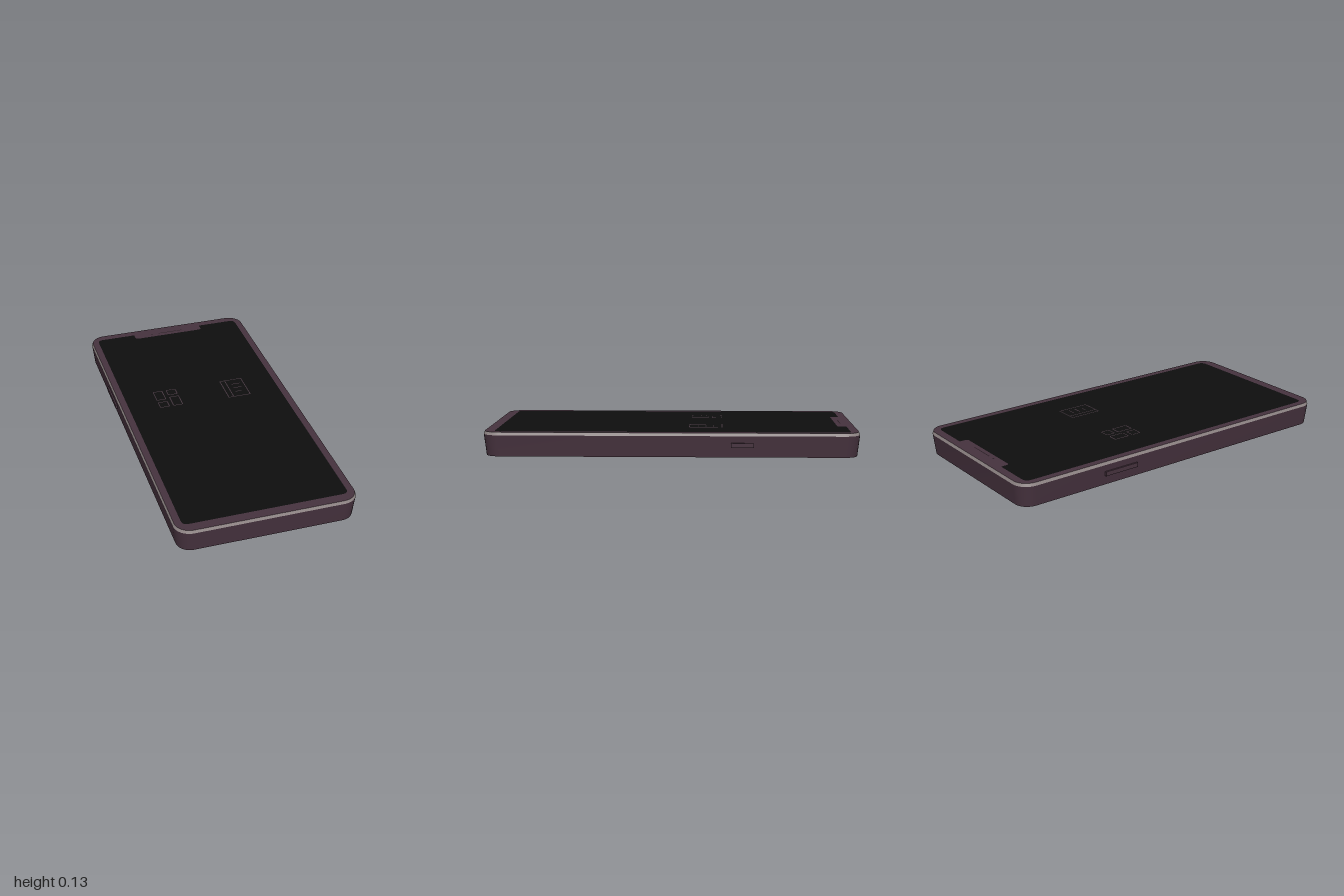
import * as THREE from 'three';
import { toCreasedNormals } from 'three/addons/utils/BufferGeometryUtils.js';

const mat = (color) => new THREE.MeshStandardMaterial({ color });
const shellMat = mat(0x46323e), rimMat = mat(0x8f8585), glassMat = mat(0x0e0e0e);
const iconMat = mat(0x46363f), darkMat = mat(0x2a1e25);

// Rounded rectangle outline, anticlockwise; shape y is -z
function outline(cx, cz, hw, hd, r, seg = 8) {
  const pts = [];
  [[1, 1], [-1, 1], [-1, -1], [1, -1]].forEach(([sx, sy], k) => {
    for (let i = 0; i <= seg; i++) {
      const a = (k + i / seg) * Math.PI / 2;
      pts.push(new THREE.Vector2(
        cx + sx * (hw - r) + r * Math.cos(a),
        -cz + sy * (hd - r) + r * Math.sin(a)));
    }
  });
  return pts;
}

// Side walls between two outlines at different heights
function wall(lower, y0, upper, y1) {
  const pos = [], n = lower.length;
  for (let i = 0; i < n; i++) {
    const j = (i + 1) % n;
    const a = [lower[i].x, y0, -lower[i].y], b = [lower[j].x, y0, -lower[j].y];
    const c = [upper[j].x, y1, -upper[j].y], d = [upper[i].x, y1, -upper[i].y];
    pos.push(...a, ...b, ...c, ...a, ...c, ...d);
  }
  const g = new THREE.BufferGeometry();
  g.setAttribute('position', new THREE.Float32BufferAttribute(pos, 3));
  return toCreasedNormals(g, 0.6);
}

function add(parent, name, geometry, material) {
  const m = new THREE.Mesh(geometry, material);
  m.name = name;
  parent.add(m);
  return m;
}

// Flat upward-facing sheet at height y
function sheet(parent, name, shape, y, material) {
  const m = add(parent, name, new THREE.ShapeGeometry(shape, 8).rotateX(-Math.PI / 2), material);
  m.position.y = y;
  return m;
}

// Thin outlined rectangle given by its x and z limits
function frame(parent, name, x0, x1, z0, z1, y, r = 0.006, t = 0.005) {
  const cx = (x0 + x1) / 2, cz = (z0 + z1) / 2, hw = (x1 - x0) / 2, hd = (z1 - z0) / 2;
  const s = new THREE.Shape(outline(cx, cz, hw, hd, r, 3));
  s.holes.push(new THREE.Path(outline(cx, cz, hw - t, hd - t, r / 3, 3).reverse()));
  sheet(parent, name, s, y, iconMat);
}

function bar(parent, name, x0, x1, z0, z1, y, material) {
  const g = new THREE.PlaneGeometry(x1 - x0, z1 - z0).rotateX(-Math.PI / 2);
  add(parent, name, g, material).position.set((x0 + x1) / 2, y, (z0 + z1) / 2);
}

// Display outline with rounded corners and the notch in its rear edge
function screenShape() {
  const w = 0.44, f = -0.94, b = 0.95, r = 0.035, nw = 0.21, nd = 0.902, q = 0.018;
  const s = new THREE.Shape();
  s.moveTo(-w + r, f);
  s.lineTo(w - r, f);
  s.quadraticCurveTo(w, f, w, f + r);
  s.lineTo(w, b - r);
  s.quadraticCurveTo(w, b, w - r, b);
  s.lineTo(nw, b);
  s.lineTo(nw, nd + q);
  s.quadraticCurveTo(nw, nd, nw - q, nd);
  s.lineTo(-nw + q, nd);
  s.quadraticCurveTo(-nw, nd, -nw, nd + q);
  s.lineTo(-nw, b);
  s.lineTo(-w + r, b);
  s.quadraticCurveTo(-w, b, -w, b - r);
  s.lineTo(-w, f + r);
  s.quadraticCurveTo(-w, f, -w + r, f);
  return s;
}

export function createModel() {
  const phone = new THREE.Group();
  phone.name = 'phone';
  const top = 0.13, ink = 0.131;

  // Tapered shell with a bevelled rim
  const base = outline(0, 0, 0.47, 0.987, 0.075);
  const shoulder = outline(0, 0, 0.483, 1, 0.085);
  const lip = outline(0, 0, 0.477, 0.994, 0.08);
  add(phone, 'shell', wall(base, 0, shoulder, 0.114), shellMat);
  add(phone, 'rim', wall(shoulder, 0.114, lip, top), rimMat);
  add(phone, 'backPanel', new THREE.ShapeGeometry(new THREE.Shape(base)).rotateX(Math.PI / 2), shellMat);

  // Bezel around the display
  const bezel = new THREE.Shape(lip);
  bezel.holes.push(new THREE.Path(screenShape().getPoints(8).reverse()));
  sheet(phone, 'bezel', bezel, top, shellMat);
  sheet(phone, 'screen', screenShape(), top, glassMat);

  // Speaker slot and camera in the notch
  bar(phone, 'speaker', -0.06, 0.09, -0.932, -0.926, ink, darkMat);
  const lens = add(phone, 'camera', new THREE.CircleGeometry(0.006, 16).rotateX(-Math.PI / 2), darkMat);
  lens.position.set(-0.1, ink, -0.929);

  // Tile icon
  const tiles = new THREE.Group();
  tiles.name = 'tileIcon';
  phone.add(tiles);
  [[-0.27, -0.213, -0.275, -0.183], [-0.193, -0.135, -0.275, -0.22],
    [-0.27, -0.213, -0.162, -0.105], [-0.193, -0.135, -0.2, -0.105],
  ].forEach(([x0, x1, z0, z1]) => frame(tiles, 'tile', x0, x1, z0, z1, ink));

  // Notebook icon
  const notebook = new THREE.Group();
  notebook.name = 'notebookIcon';
  phone.add(notebook);
  frame(notebook, 'cover', 0.132, 0.265, -0.275, -0.093, ink, 0.004);
  bar(notebook, 'spine', 0.161, 0.166, -0.272, -0.096, ink, iconMat);
  [[-0.225, 0.24], [-0.185, 0.24], [-0.145, 0.225]].forEach(([z, x1]) =>
    bar(notebook, 'textLine', 0.19, x1, z - 0.0025, z + 0.0025, ink, iconMat));

  // Side buttons: a long one on the right, a short one on the left
  [['volumeButton', -1, -0.495, -0.29], ['powerButton', 1, -0.435, -0.315]].forEach(([name, side, z0, z1]) => {
    const b = add(phone, name, new THREE.BoxGeometry(0.018, 0.024, z1 - z0), shellMat);
    b.position.set(side * 0.479, 0.065, (z0 + z1) / 2);
  });
  return phone;
}
